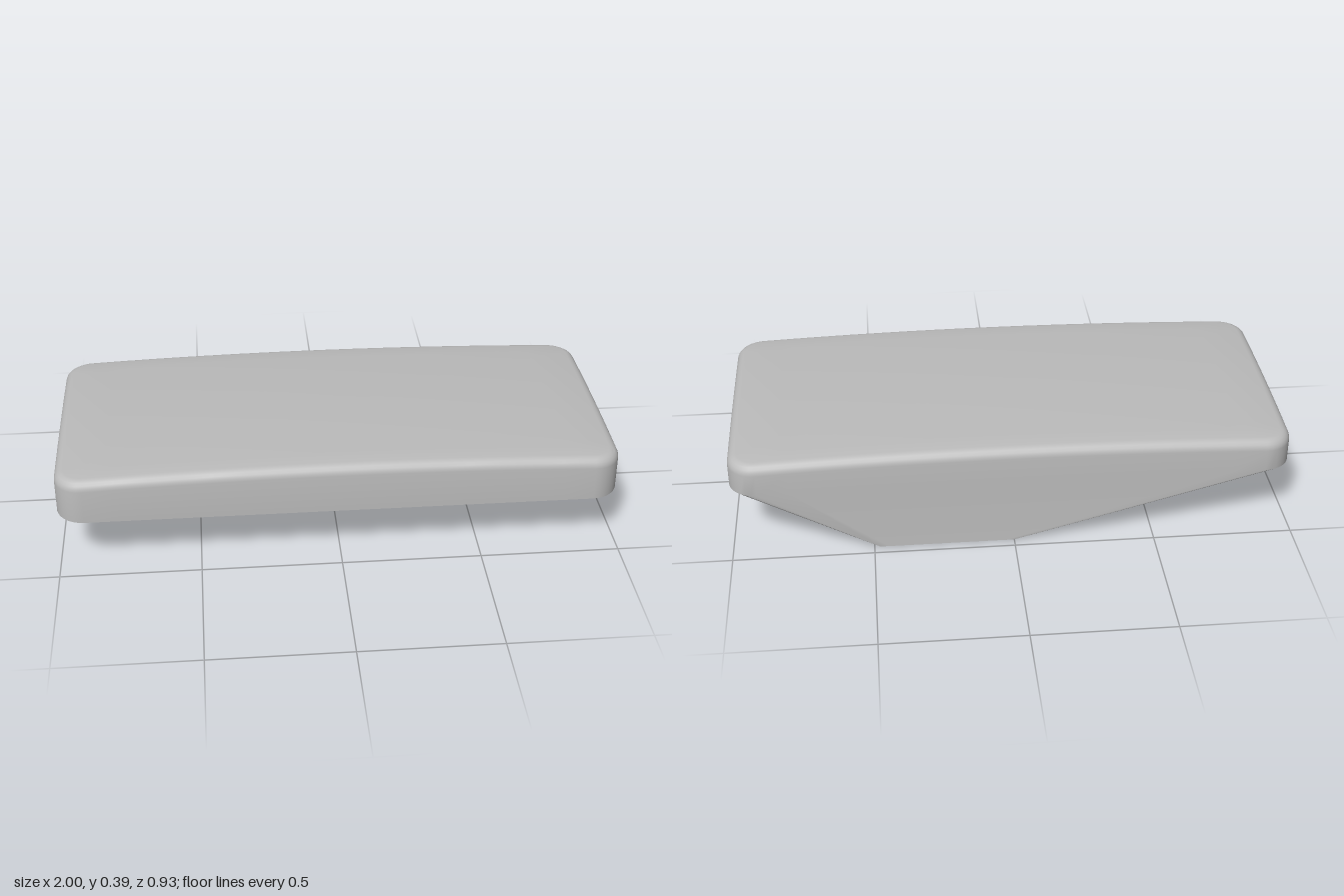
import * as THREE from 'three';
import { toCreasedNormals } from 'three/addons/utils/BufferGeometryUtils.js';

const HALF_X = 1, HALF_Z = 0.4575, MID_Z = 0.0075, CORNER = 0.1, BEVEL = 0.035;
const KEEL = { x0: 0, x1: 0.48, z0: -0.465, z1: -0.375 };
const lerp = THREE.MathUtils.lerp;

// Rounded rectangle, counterclockwise from above. u and v (0..1) place each
// point on the keel: a whole corner arc shares one keel corner.
function outline(inset) {
  const signs = [[1, -1], [-1, -1], [-1, 1], [1, 1]];
  const arc = 8, r = CORNER - inset, pts = [];
  const arcPoint = (k, a) => ({
    x: signs[k][0] * (HALF_X - CORNER) + r * Math.cos(a),
    z: MID_Z + signs[k][1] * (HALF_Z - CORNER) - r * Math.sin(a),
    u: (signs[k][0] + 1) / 2,
    v: (signs[k][1] + 1) / 2,
  });
  for (let k = 0; k < 4; k++) {
    for (let i = 0; i <= arc; i++) pts.push(arcPoint(k, (k + i / arc) * Math.PI / 2));
    const a = pts[pts.length - 1];
    const b = arcPoint((k + 1) % 4, (k + 1) * Math.PI / 2);
    const steps = k % 2 ? 8 : 16;
    for (let i = 1; i < steps; i++) {
      const t = i / steps;
      pts.push({ x: lerp(a.x, b.x, t), z: lerp(a.z, b.z, t), u: lerp(a.u, b.u, t), v: lerp(a.v, b.v, t) });
    }
  }
  return pts;
}

// Gently domed top and slightly sloping lower rim
const topY = (x, z) => 0.387 - 0.023 * x * x - 0.06 * (z - 0.1) ** 2;
const rimY = (z) => 0.218 - 0.038 * z;

// Skin a stack of rings from bottom to top, leaving out collapsed triangles
function loft(rings) {
  const pos = [];
  const tri = (a, b, c) => {
    const same = (p, q) => p.distanceToSquared(q) < 1e-12;
    if (same(a, b) || same(b, c) || same(c, a)) return;
    for (const p of [a, b, c]) pos.push(p.x, p.y, p.z);
  };
  for (let j = 0; j + 1 < rings.length; j++) {
    const lo = rings[j], hi = rings[j + 1];
    for (let i = 0; i < lo.length; i++) {
      const n = (i + 1) % lo.length;
      tri(lo[i], lo[n], hi[n]);
      tri(lo[i], hi[n], hi[i]);
    }
  }
  const geo = new THREE.BufferGeometry();
  geo.setAttribute('position', new THREE.Float32BufferAttribute(pos, 3));
  return toCreasedNormals(geo, 0.6);
}

export function createModel() {
  const grey = new THREE.MeshStandardMaterial({ color: 0xbbbbbb });
  grey.name = 'grey';
  const V = (x, y, z) => new THREE.Vector3(x, y, z);
  const base = outline(0);
  const rings = [];

  // Small flat keel at the back, closed to its middle
  const keelMid = V((KEEL.x0 + KEEL.x1) / 2, 0, (KEEL.z0 + KEEL.z1) / 2);
  rings.push(base.map(() => keelMid));
  rings.push(base.map((p) => V(lerp(KEEL.x0, KEEL.x1, p.u), 0, lerp(KEEL.z0, KEEL.z1, p.v))));

  // Tapered underside up to the rim
  rings.push(base.map((p) => V(p.x, rimY(p.z), p.z)));

  // Upright wall and rounded top edge
  const steps = 5;
  for (let i = 0; i <= steps; i++) {
    const a = (i / steps) * Math.PI / 2;
    const drop = BEVEL * (1 - Math.sin(a));
    rings.push(outline(BEVEL * (1 - Math.cos(a))).map((p) => V(p.x, topY(p.x, p.z) - drop, p.z)));
  }

  // Domed top, shrinking to the middle
  const edge = outline(BEVEL);
  for (const s of [0.85, 0.7, 0.55, 0.4, 0.25, 0.1, 0]) {
    rings.push(edge.map((p) => {
      const x = p.x * s, z = MID_Z + (p.z - MID_Z) * s;
      return V(x, topY(x, z), z);
    }));
  }

  const body = new THREE.Mesh(loft(rings), grey);
  body.name = 'taperedSlab';
  const group = new THREE.Group();
  group.name = 'wedgeBlock';
  group.add(body);
  return group;
}
